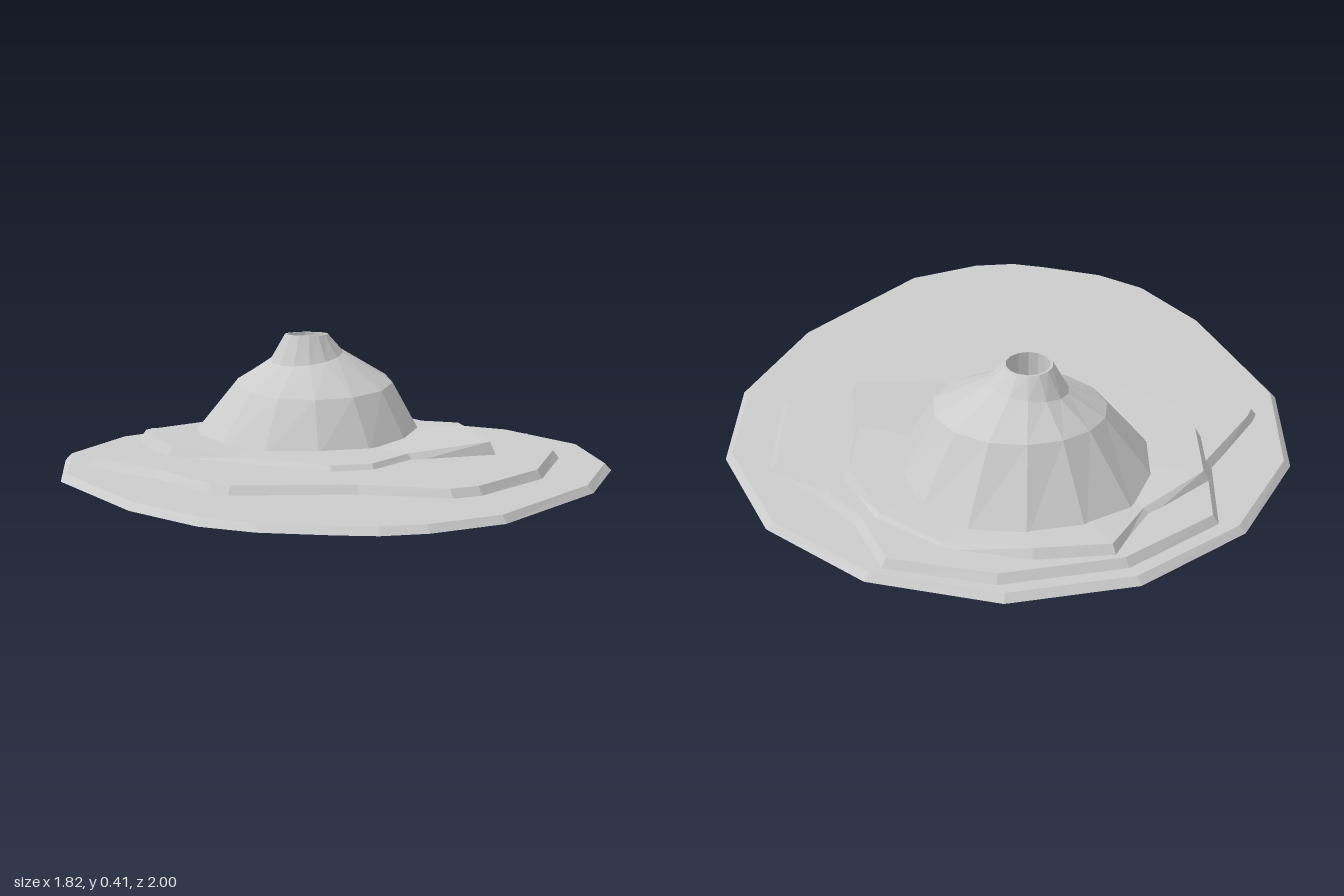
import * as THREE from 'three';

const CX = 0, CZ = -0.4; // axis of the cone
const material = new THREE.MeshStandardMaterial({ color: 0xcccccc, flatShading: true });

// Skins a stack of equal-length rings ([x, y, z] points) and fans the ends shut.
function loft(name, rings, topCentre, bottomCentre) {
  const n = rings[0].length;
  const pos = [];
  const tri = (a, b, c) => pos.push(...a, ...b, ...c);
  for (let i = 0; i < n; i++) {
    const j = (i + 1) % n;
    for (let k = 0; k + 1 < rings.length; k++) {
      const lo = rings[k], hi = rings[k + 1];
      tri(lo[j], lo[i], hi[i]);
      tri(lo[j], hi[i], hi[j]);
    }
    const top = rings[rings.length - 1];
    tri(topCentre, top[j], top[i]);
    if (bottomCentre) tri(bottomCentre, rings[0][i], rings[0][j]);
  }
  const geo = new THREE.BufferGeometry();
  geo.setAttribute('position', new THREE.Float32BufferAttribute(pos, 3));
  geo.computeVertexNormals();
  const mesh = new THREE.Mesh(geo, material);
  mesh.name = name;
  return mesh;
}

// Slab with a bevelled edge; outline points are [x, z, optional top height].
function terrace(name, outline, y0, y1, inset, closed) {
  const low = outline.map(([x, z]) => [x, y0, z]);
  const high = outline.map(([x, z, y = y1]) => {
    const s = 1 - inset / Math.hypot(x - CX, z - CZ);
    return [CX + (x - CX) * s, y, CZ + (z - CZ) * s];
  });
  return loft(name, [low, high], [CX, y1, CZ], closed && [CX, y0, CZ]);
}

export function createModel() {
  const group = new THREE.Group();
  group.name = 'volcanoIsland';

  // Lowest ground slab
  group.add(terrace('baseGround', [
    [-0.2, -1], [0.2, -1], [0.57, -0.82], [0.82, -0.51], [0.91, -0.11], [0.82, 0.28],
    [0.58, 0.62], [0.14, 0.95], [-0.11, 1], [-0.25, 0.985], [-0.36, 0.935], [-0.55, 0.83],
    [-0.68, 0.7], [-0.81, 0.42], [-0.91, -0.11], [-0.82, -0.51], [-0.57, -0.82],
  ], 0, 0.022, 0.022, true));

  // Middle step
  group.add(terrace('middleTerrace', [
    [-0.18, -0.945], [0.21, -0.945], [0.52, -0.8], [0.565, -0.58], [0.65, -0.42], [0.785, -0.23],
    [0.71, 0.13], [0.49, 0.46], [0.2, 0.655], [0.1, 0.67], [-0.14, 0.515], [-0.51, 0.405],
    [-0.56, 0.36], [-0.65, 0.05], [-0.805, -0.23], [-0.78, -0.27], [-0.57, -0.5], [-0.5, -0.79],
  ], 0.015, 0.048, 0.025));

  // Uneven upper step that dips into the middle one at the back
  group.add(terrace('upperTerrace', [
    [-0.15, -0.91, 0.075], [0.09, -0.885, 0.075], [0.35, -0.77, 0.055], [0.51, -0.59, 0.06],
    [0.575, -0.36, 0.08], [0.51, -0.15, 0.1], [0.475, 0.14, 0.09], [0.18, 0.14, 0.065],
    [0, 0.275, 0.064], [-0.14, 0.265, 0.064], [-0.39, 0, 0.062], [-0.55, -0.19, 0.078],
    [-0.575, -0.36, 0.085], [-0.53, -0.6, 0.08], [-0.3, -0.735, 0.062],
  ], 0.04, 0.07, 0.025));

  // Faceted cone, lopsided in the middle, with a hollow crater
  const ring = (radius, height) => Array.from({ length: 14 }, (_, i) => {
    const a = (i / 14) * Math.PI * 2, c = Math.cos(a), s = Math.sin(a);
    const r = radius(c, s);
    return [CX + r * c, height(c, s), CZ + r * s];
  });
  group.add(loft('cone', [
    ring(() => 0.405, () => 0.05),
    ring((c, s) => 0.268 + 0.02 * c + 0.025 * s, (c, s) => 0.25 + 0.01 * c - 0.03 * s),
    ring(() => 0.125, (c, s) => 0.335 + 0.02 * c - 0.015 * s),
    ring(() => 0.075, () => 0.41),
    ring(() => 0.068, () => 0.41),
    ring(() => 0.066, () => 0.3),
  ], [CX, 0.3, CZ]));

  return group;
}
